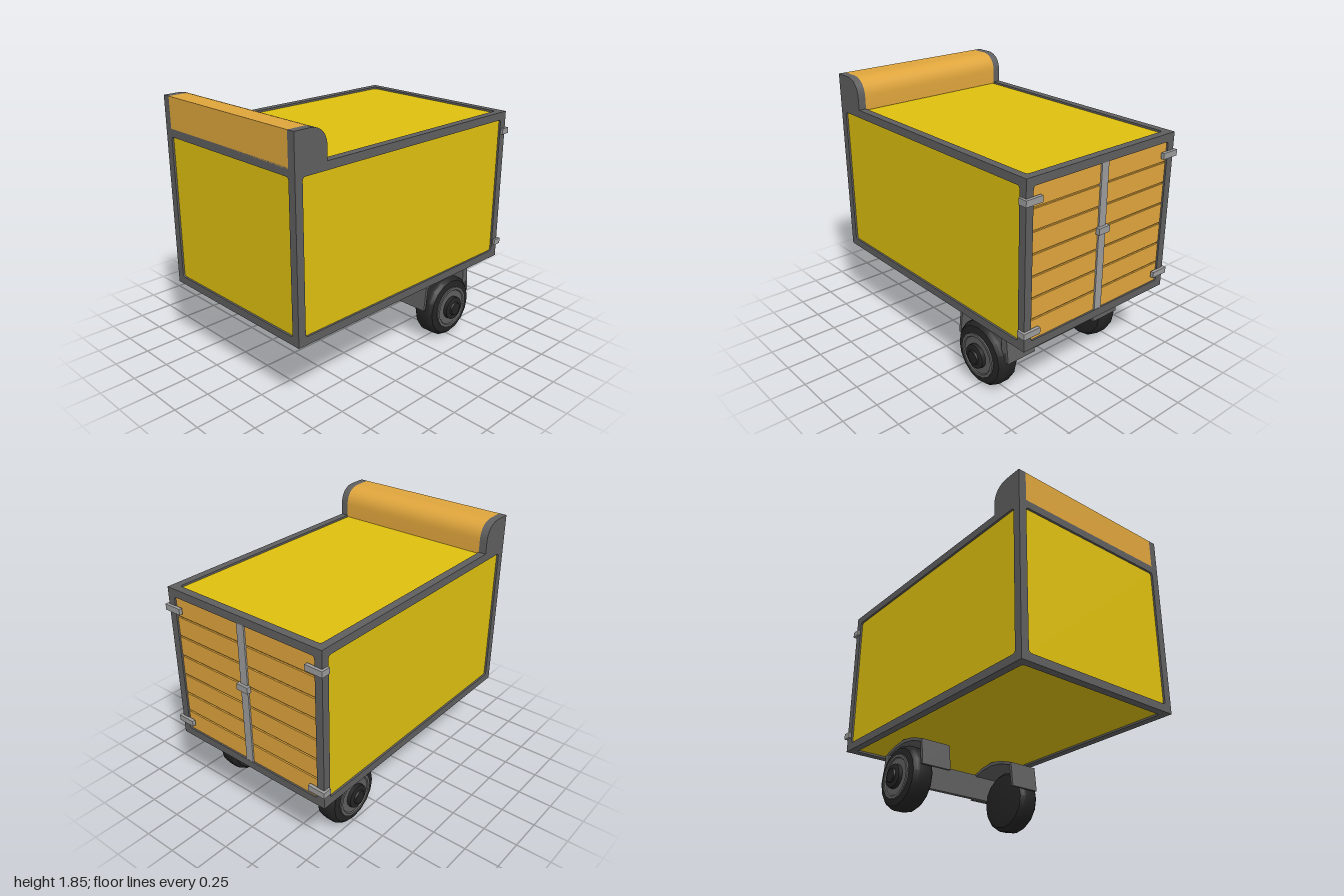
import * as THREE from 'three';
import { toCreasedNormals } from 'three/addons/utils/BufferGeometryUtils.js';

const mat = (name, color, side = THREE.FrontSide) => {
  const m = new THREE.MeshStandardMaterial({ color, side });
  m.name = name;
  return m;
};

export function createModel() {
  const yellow = mat('yellow panel', 0xdfc10f);
  const grey = mat('dark grey frame', 0x5f5f5f);
  const wood = mat('orange wood', 0xdfa53c);
  const steel = mat('light steel', 0x9c9c9c);
  const rubber = mat('black rubber', 0x242424);

  const model = new THREE.Group();
  model.name = 'cargoTrailer';

  const add = (parent, name, geometry, material, x = 0, y = 0, z = 0) => {
    const mesh = new THREE.Mesh(geometry, material);
    mesh.name = name;
    mesh.position.set(x, y, z);
    parent.add(mesh);
    return mesh;
  };
  // box given by its limits on each axis
  const box = (parent, name, material, [x0, x1], [y0, y1], [z0, z1]) =>
    add(parent, name, new THREE.BoxGeometry(x1 - x0, y1 - y0, z1 - z0), material,
      (x0 + x1) / 2, (y0 + y1) / 2, (z0 + z1) / 2);
  // side profile in (z, y), extruded across x from x0 to x1
  const acrossX = (shape, x0, x1) =>
    new THREE.ExtrudeGeometry(shape, { depth: x1 - x0, bevelEnabled: false, curveSegments: 10 })
      .rotateY(-Math.PI / 2).translate(x1, 0, 0);

  // ---- Cargo box: recessed yellow core and six frames with rounded openings
  const W = 1.288, H = 1.12, D = 1.98, rail = 0.056, recess = 0.014;
  const body = new THREE.Group();
  body.name = 'cargoBox';
  body.position.set(-0.005, 1.07, 0.01);
  model.add(body);
  box(body, 'panels', yellow, [-W / 2 + recess, W / 2 - recess],
    [-H / 2 + recess, H / 2 - recess], [-D / 2 + 0.04, D / 2 - recess]);

  const frameGeometry = (w, h) => {
    const s = new THREE.Shape();
    s.moveTo(-w / 2, -h / 2).lineTo(w / 2, -h / 2).lineTo(w / 2, h / 2).lineTo(-w / 2, h / 2).closePath();
    const a = w / 2 - rail, b = h / 2 - rail, r = 0.022;
    const hole = new THREE.Path();
    hole.moveTo(-a + r, -b);
    hole.lineTo(a - r, -b).quadraticCurveTo(a, -b, a, -b + r);
    hole.lineTo(a, b - r).quadraticCurveTo(a, b, a - r, b);
    hole.lineTo(-a + r, b).quadraticCurveTo(-a, b, -a, b - r);
    hole.lineTo(-a, -b + r).quadraticCurveTo(-a, -b, -a + r, -b);
    s.holes.push(hole);
    return new THREE.ExtrudeGeometry(s, { depth: 0.05, bevelEnabled: false, curveSegments: 4 })
      .translate(0, 0, -0.05);
  };
  const q = Math.PI / 2;
  for (const [name, w, h, rx, ry, x, y, z] of [
    ['frontFrame', W, H, 0, 0, 0, 0, D / 2],
    ['backFrame', W, H, 0, 2 * q, 0, 0, -D / 2],
    ['leftFrame', D, H, 0, q, W / 2, 0, 0],
    ['rightFrame', D, H, 0, -q, -W / 2, 0, 0],
    ['topFrame', W, D, -q, 0, 0, H / 2, 0],
    ['bottomFrame', W, D, q, 0, 0, -H / 2, 0],
  ]) add(body, name, frameGeometry(w, h), grey, x, y, z).rotation.set(rx, ry, 0);

  // ---- Rounded header above the front: wooden filling between grey end caps
  const header = new THREE.Shape();
  header.moveTo(0.755, 1.62).lineTo(1, 1.62).lineTo(1, 1.845).lineTo(0.885, 1.845);
  header.bezierCurveTo(0.81, 1.845, 0.755, 1.8, 0.755, 1.715);
  header.closePath();
  const x0 = -0.649, x1 = 0.639;
  add(model, 'headerBoard', toCreasedNormals(acrossX(header, x0 + rail, x1 - rail), 0.5), wood);
  add(model, 'headerCapRight', toCreasedNormals(acrossX(header, x0, x0 + rail), 0.5), grey);
  add(model, 'headerCapLeft', toCreasedNormals(acrossX(header, x1 - rail, x1), 0.5), grey);

  // ---- Rear doors: horizontal planks with grooves, centre bar and latch
  const doors = new THREE.Group();
  doors.name = 'rearDoors';
  model.add(doors);
  const left = 0.585, right = -0.595, low = 0.56, high = 1.58, planks = 7;
  box(doors, 'doorBacking', wood, [right, left], [low, high], [-0.957, -0.93]);
  const step = (high - low) / planks;
  for (let i = 0; i < planks; i++) {
    box(doors, 'plank', wood, [right, left],
      [low + i * step + 0.006, low + (i + 1) * step - 0.006], [-0.968, -0.95]);
  }
  box(doors, 'centreBar', steel, [-0.035, 0.025], [low, high], [-0.979, -0.95]);
  box(doors, 'latch', steel, [-0.052, 0.042], [1.11, 1.155], [-1, -0.97]);

  // ---- Hinges wrapping the rear corners
  for (const side of [-1, 1]) for (const y of [0.63, 1.49]) {
    const hinge = new THREE.Group();
    hinge.name = 'hinge';
    hinge.position.set(-0.005, y, 0);
    model.add(hinge);
    const span = (a, b) => (side > 0 ? [a, b] : [-b, -a]);
    box(hinge, 'hingeRearLeaf', steel, span(0.53, 0.661), [-0.021, 0.021], [-1, -0.976]);
    box(hinge, 'hingeSideLeaf', steel, span(0.64, 0.661), [-0.021, 0.021], [-1, -0.935]);
  }

  // ---- Running gear
  const gear = new THREE.Group();
  gear.name = 'runningGear';
  gear.position.x = 0.0525;
  model.add(gear);
  box(gear, 'axleBeam', grey, [-0.512, 0.512], [0.27, 0.46], [-0.725, -0.69]);

  // arched mudguard strip in (z, y)
  const guard = new THREE.Shape([
    [-0.245, 0.27], [-0.265, 0.455], [-0.39, 0.497], [-0.5, 0.512], [-0.61, 0.497],
    [-0.735, 0.455], [-0.755, 0.27], [-0.735, 0.27], [-0.715, 0.44], [-0.605, 0.475],
    [-0.5, 0.488], [-0.395, 0.475], [-0.285, 0.44], [-0.265, 0.27],
  ].map(([z, y]) => new THREE.Vector2(z, y)));

  const turned = (points) => toCreasedNormals(
    new THREE.LatheGeometry(points.map(([r, y]) => new THREE.Vector2(r, y)), 16).rotateZ(-q), 0.55);
  const tyre = turned([[0, 0], [0.16, 0], [0.205, 0.008], [0.225, 0.03], [0.23, 0.05],
    [0.23, 0.12], [0.225, 0.14], [0.205, 0.162], [0.16, 0.17], [0, 0.17]]);
  const rim = turned([[0.16, 0.16], [0.158, 0.18], [0.138, 0.18], [0.132, 0.173], [0, 0.173]]);
  const hub = turned([[0.087, 0.165], [0.085, 0.2], [0.07, 0.207], [0.052, 0.207], [0.046, 0.218], [0, 0.218]]);

  for (const side of [-1, 1]) {
    add(gear, 'mudguard', side > 0 ? acrossX(guard, 0.28, 0.512) : acrossX(guard, -0.512, -0.28), grey);
    const wheel = new THREE.Group();
    wheel.name = 'wheel';
    wheel.position.set(side * 0.387, 0.23, -0.5);
    wheel.rotation.y = side > 0 ? 0 : Math.PI;
    gear.add(wheel);
    add(wheel, 'tyre', tyre, rubber);
    add(wheel, 'rim', rim, grey);
    add(wheel, 'hubCap', hub, rubber);
  }
  return model;
}
